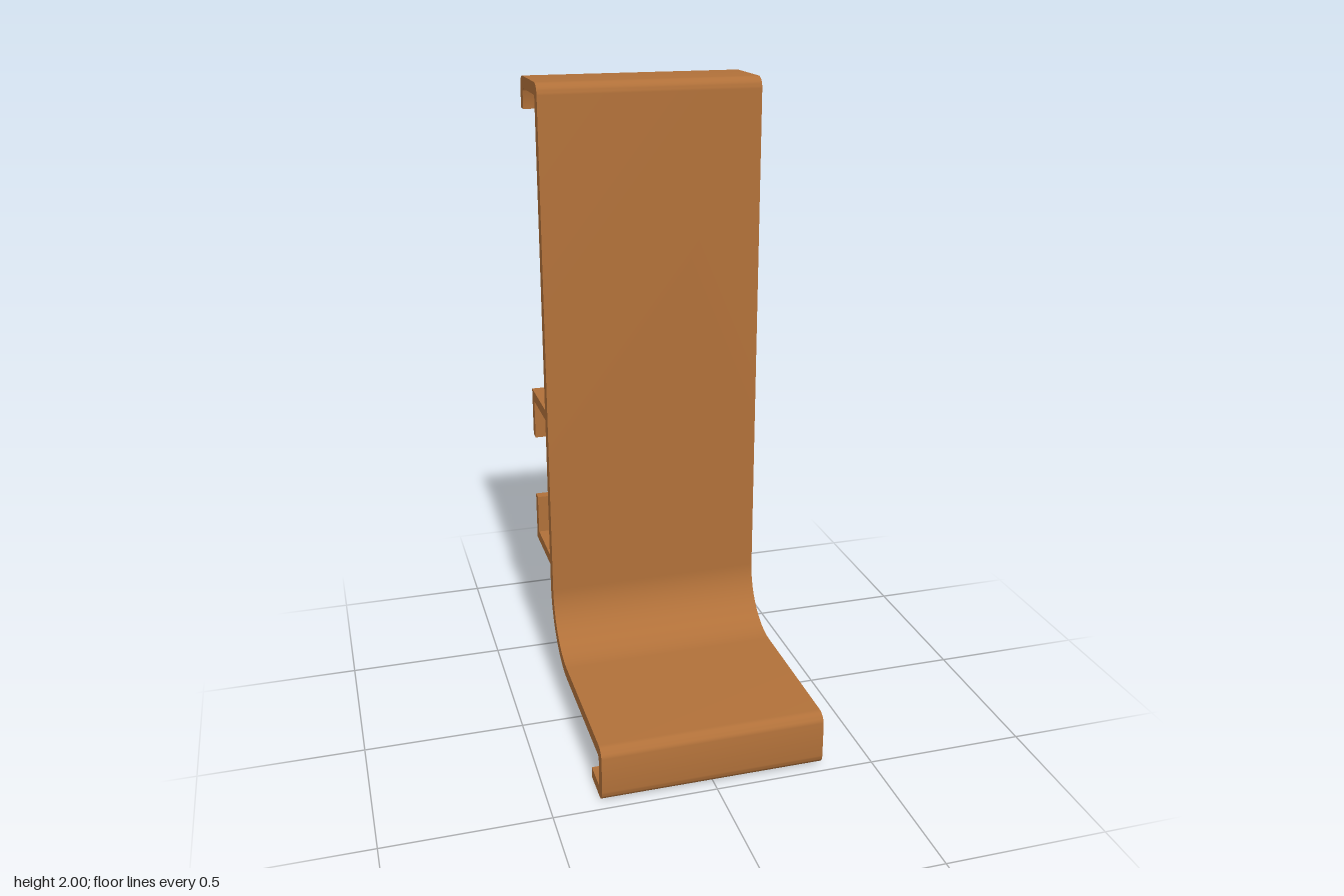
import * as THREE from 'three';
import { toCreasedNormals } from 'three/addons/utils/BufferGeometryUtils.js';

const WIDTH = 0.694;

// Outline from right-angled corners [back, up, radius]; a radius rounds the corner.
function roundedOutline(corners) {
  const points = [];
  corners.forEach(([x, y, r = 0], i) => {
    const corner = new THREE.Vector2(x, y);
    if (!r) { points.push(corner); return; }
    const prev = corners[(i + corners.length - 1) % corners.length];
    const next = corners[(i + 1) % corners.length];
    const inward = corner.clone().sub(new THREE.Vector2(prev[0], prev[1])).normalize();
    const outward = new THREE.Vector2(next[0], next[1]).sub(corner).normalize();
    const centre = corner.clone().addScaledVector(inward, -r).addScaledVector(outward, r);
    const steps = r > 0.1 ? 24 : 8;
    for (let k = 0; k <= steps; k++) {
      const t = (k / steps) * Math.PI / 2;
      points.push(centre.clone()
        .addScaledVector(inward, r * Math.sin(t))
        .addScaledVector(outward, -r * Math.cos(t)));
    }
  });
  return new THREE.Shape(points);
}

// Side profile extruded across the full width.
function strip(name, corners, material) {
  const geometry = new THREE.ExtrudeGeometry(roundedOutline(corners), {
    depth: WIDTH, bevelEnabled: false, steps: 1,
  });
  geometry.translate(0, 0, -WIDTH / 2);
  geometry.rotateY(Math.PI / 2);
  const mesh = new THREE.Mesh(toCreasedNormals(geometry, 0.5), material);
  mesh.name = name;
  return mesh;
}

export function createModel() {
  const group = new THREE.Group();
  group.name = 'bentStand';
  const copper = new THREE.MeshStandardMaterial({ color: 0xb07039 });
  copper.name = 'copper brown';

  // Bent sheet: front foot lip, shelf, large bend, back wall and top hook
  group.add(strip('bentSheet', [
    [-0.337, 0],
    [-0.473, 0, 0.035],
    [-0.473, 0.177, 0.035],
    [0.204, 0.177, 0.19],
    [0.204, 2, 0.035],
    [0.472, 2, 0.035],
    [0.472, 1.9],
    [0.435, 1.9],
    [0.435, 1.963, 0.012],
    [0.242, 1.963, 0.012],
    [0.242, 0.138, 0.228],
    [-0.436, 0.138, 0.012],
    [-0.436, 0.035, 0.012],
    [-0.337, 0.035],
  ], copper));

  // Two facing L-shaped rails on the back: [name, outer edge, inner edge, lip end]
  for (const [name, outer, inner, lip] of [
    ['upperRail', 0.985, 0.951, 0.823],
    ['lowerRail', 0.444, 0.478, 0.606],
  ]) {
    group.add(strip(name, [
      [0.242, outer], [0.464, outer], [0.464, lip],
      [0.43, lip], [0.43, inner], [0.242, inner],
    ], copper));
  }
  return group;
}
